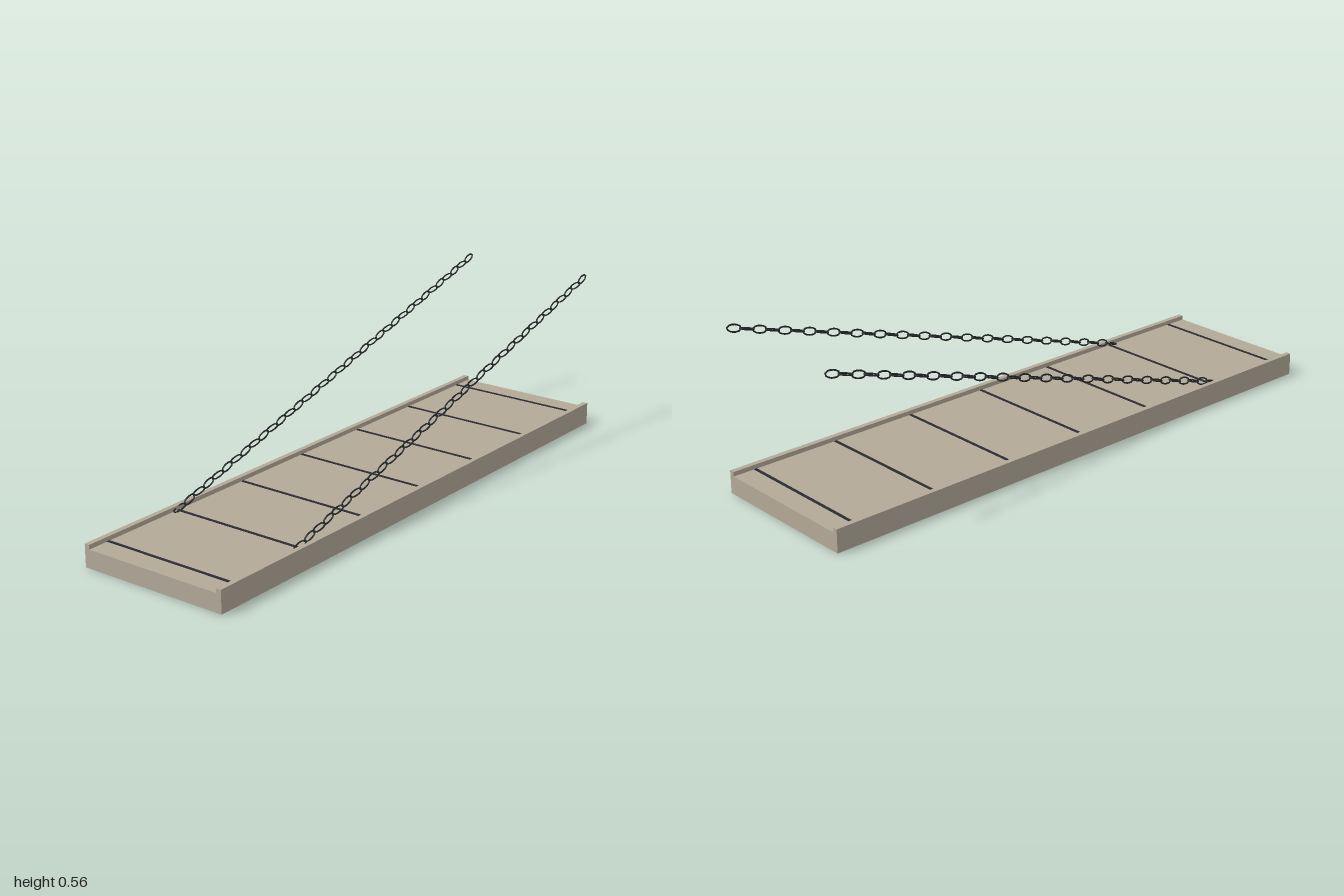
import * as THREE from 'three';

export function createModel() {
  const wood = new THREE.MeshStandardMaterial({ name: 'weathered wood', color: 0xb3a998 });
  const strip = new THREE.MeshStandardMaterial({ name: 'dark strip', color: 0x2b2b33 });
  const iron = new THREE.MeshStandardMaterial({ name: 'chain iron', color: 0x25292b });
  const model = new THREE.Group();
  model.name = 'drawbridge';

  // Deck with a raised lip along both long sides
  const W = 0.268, IN = 0.25, TOP = 0.062, LIP = 0.077;
  const profile = new THREE.Shape([
    [-W, 0], [W, 0], [W, LIP], [IN, LIP], [IN, TOP], [-IN, TOP], [-IN, LIP], [-W, LIP],
  ].map(([x, y]) => new THREE.Vector2(x, y)));
  const deckGeo = new THREE.ExtrudeGeometry(profile, { depth: 2, bevelEnabled: false });
  deckGeo.translate(0, 0, -1);
  const deck = new THREE.Mesh(deckGeo, wood);
  deck.name = 'deck';
  model.add(deck);

  // Cross strips on the deck
  const stripGeo = new THREE.BoxGeometry(0.498, 0.004, 0.01);
  for (let i = -3; i <= 3; i++) {
    const m = new THREE.Mesh(stripGeo, strip);
    m.name = 'crossStrip';
    m.position.set(0, TOP, i * 0.307);
    model.add(m);
  }

  // Oval chain link, long axis along z, lying flat in xz
  class Oval extends THREE.Curve {
    getPoint(t, target = new THREE.Vector3()) {
      const a = t * Math.PI * 2;
      return target.set(0.0118 * Math.cos(a), 0, 0.0262 * Math.sin(a));
    }
  }
  const linkGeo = new THREE.TubeGeometry(new Oval(), 12, 0.0027, 6, true);

  // Two sloping chains, with alternate links turned a quarter
  const LINKS = 36, STEP = 0.0453, SLOPE = 0.296;
  for (const side of [-1, 1]) {
    const chain = new THREE.Group();
    chain.name = side > 0 ? 'leftChain' : 'rightChain';
    chain.position.set(side * 0.241, 0.072, 0.614);
    chain.rotation.x = Math.atan(SLOPE);
    const pitch = STEP * Math.hypot(1, SLOPE);
    for (let i = 0; i < LINKS; i++) {
      const link = new THREE.Mesh(linkGeo, iron);
      link.name = 'chainLink';
      link.position.z = -i * pitch;
      link.rotation.z = (i % 2) * Math.PI / 2;
      chain.add(link);
    }
    model.add(chain);
  }
  return model;
}
